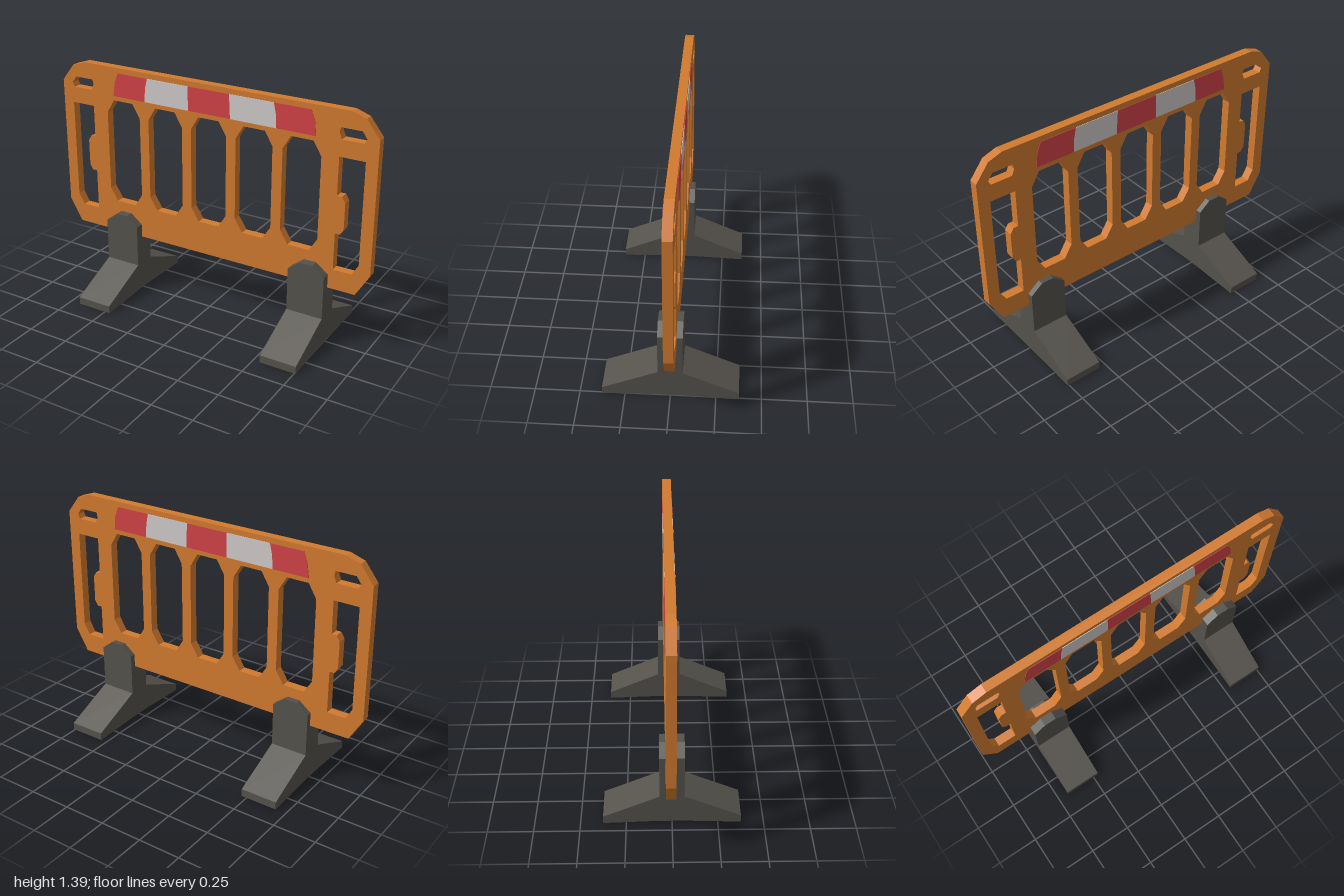
import * as THREE from 'three';

const mat = (name, color) => {
  const m = new THREE.MeshStandardMaterial({ color });
  m.name = name;
  return m;
};

const toPoints = (pts) => pts.map(([x, y]) => new THREE.Vector2(x, y));

// Extrude an outline (with holes) along z between z0 and z1
function slab(outline, z0, z1, holes = []) {
  const shape = new THREE.Shape(toPoints(outline));
  for (const h of holes) shape.holes.push(new THREE.Path(toPoints(h)));
  const geo = new THREE.ExtrudeGeometry(shape, { depth: z1 - z0, bevelEnabled: false });
  return geo.translate(0, 0, z0);
}

const BACK = -0.035, FRONT = 0.017;

export function createModel() {
  const orange = mat('orange plastic', 0xd27a2f);
  const rubber = mat('dark rubber', 0x55524c);
  const red = mat('red reflector', 0xd24247);
  const white = mat('white reflector', 0xd0caca);

  const model = new THREE.Group();
  model.name = 'trafficBarrier';
  const add = (name, geo, material, parent = model) => {
    const mesh = new THREE.Mesh(geo, material);
    mesh.name = name;
    parent.add(mesh);
    return mesh;
  };

  // Panel outline with chamfered corners
  const outline = [
    [-0.92, 0.355], [0.92, 0.355], [1, 0.49], [1, 1.26], [0.922, 1.36],
    [0.842, 1.388], [-0.837, 1.388], [-0.922, 1.36], [-1, 1.26], [-1, 0.49],
  ];

  // Five long openings between the bars
  const holes = [];
  for (let i = -2; i <= 2; i++) {
    const c = i * 0.286;
    holes.push([
      [c - 0.065, 0.553], [c + 0.065, 0.553], [c + 0.113, 0.63], [c + 0.113, 1.11],
      [c + 0.065, 1.19], [c - 0.065, 1.19], [c - 0.113, 1.11], [c - 0.113, 0.63],
    ]);
  }

  // End openings with a coupling lug (at slightly different heights), and hand slots
  for (const [s, lug] of [[-1, 0.83], [1, 0.8]]) {
    holes.push([
      [0.785, 0.473], [0.895, 0.473], [0.932, 0.537], [0.932, 1.13], [0.785, 1.13],
      [0.785, lug + 0.11], [0.814, lug + 0.11], [0.834, lug + 0.078],
      [0.834, lug - 0.078], [0.814, lug - 0.11], [0.785, lug - 0.11],
    ].map(([x, y]) => [s * x, y]));
    holes.push([
      [0.795, 1.227], [0.918, 1.227], [0.932, 1.252], [0.905, 1.291],
      [0.786, 1.291], [0.78, 1.262],
    ].map(([x, y]) => [s * x, y]));
  }
  add('panel', slab(outline, BACK, FRONT, holes), orange);

  // Reflective strip on both faces: edges given as [bottom x, middle x, top x]
  const edges = [
    [-0.637, -0.625, -0.602], [-0.42, -0.415, -0.4], [-0.13, -0.13, -0.13],
    [0.138, 0.135, 0.13], [0.42, 0.415, 0.402], [0.65, 0.642, 0.618],
  ];
  const ys = [1.217, 1.295, 1.357];
  for (const [side, z] of [['front', FRONT], ['back', BACK]]) {
    for (let i = 0; i < 5; i++) {
      const a = edges[i], b = edges[i + 1];
      const plate = [
        ...ys.map((y, k) => [b[k], y]),
        ...ys.map((y, k) => [a[k], y]).reverse(),
      ];
      add(`${side}Reflector${i + 1}`, slab(plate, z - 0.003, z + 0.003), i % 2 ? white : red);
    }
  }

  // Feet: a splayed base with a chamfered post that clasps the panel
  const baseProfile = [
    [-0.376, 0], [-0.07, 0.011], [0.07, 0.011], [0.376, 0],
    [0.376, 0.045], [0.068, 0.18], [-0.068, 0.18], [-0.376, 0.045],
  ];
  const postOutline = [
    [-0.109, 0.18], [0.109, 0.18], [0.109, 0.435],
    [0.037, 0.491], [-0.037, 0.491], [-0.109, 0.435],
  ];
  for (const [name, x] of [['rightFoot', -0.577], ['leftFoot', 0.649]]) {
    const foot = new THREE.Group();
    foot.name = name;
    foot.position.x = x;
    add('base', slab(baseProfile, -0.109, 0.109).rotateY(Math.PI / 2), rubber, foot);
    add('post', slab(postOutline, -0.068, 0.068), rubber, foot);
    model.add(foot);
  }

  return model;
}
